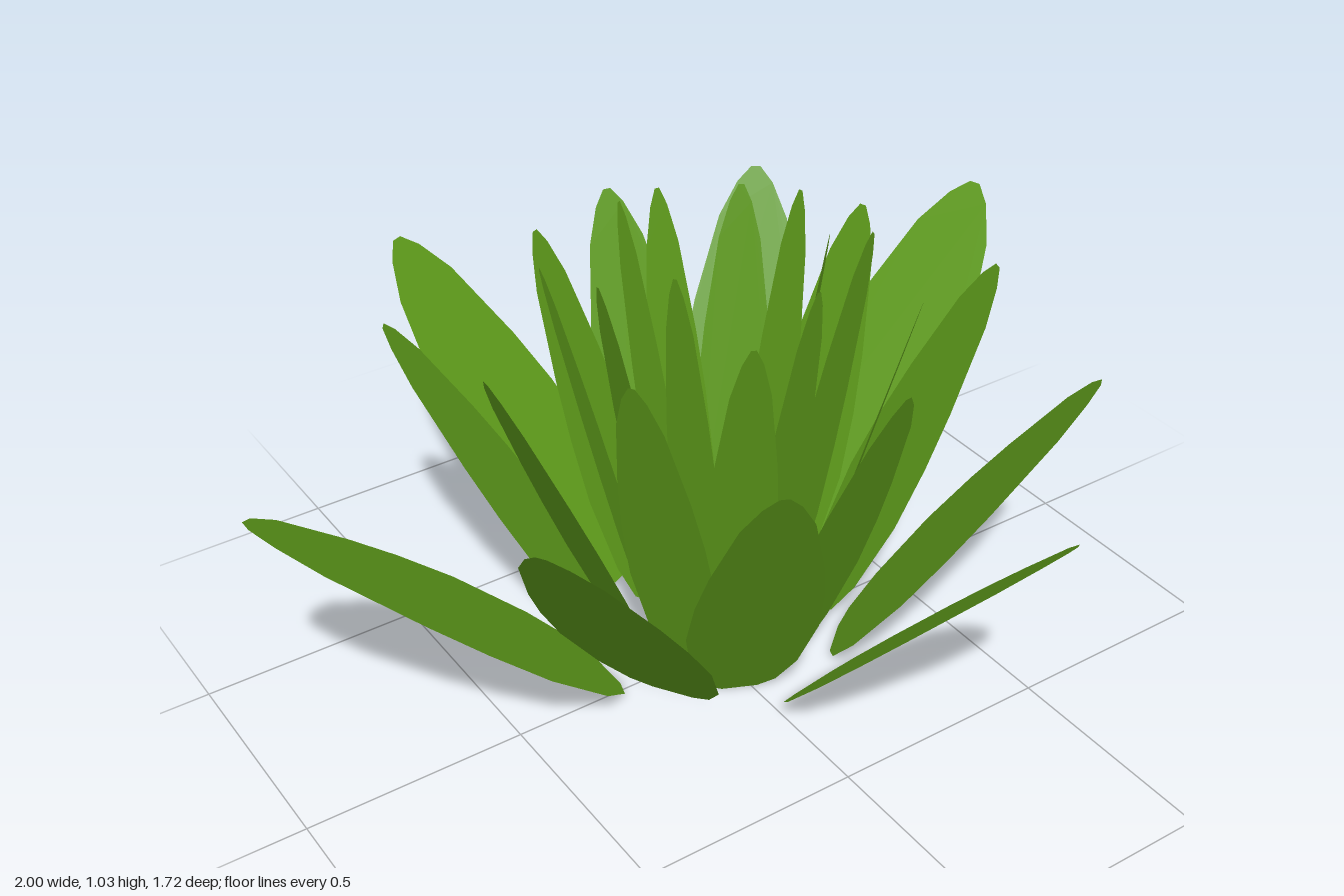
import * as THREE from 'three';

const LEAVES = 28;
const STEP = THREE.MathUtils.degToRad(360 * 3 / 11); // spiral of eleven leaf directions
const CENTRE = [0.076, -0.08];
const OUTER_REACH = [1.076, 0.945, 0.963, 0.86];     // slight irregularity of the oldest leaves

// Half outline of a leaf: [fraction of length, fraction of half width]
const OUTLINE = [
  [0, 0.28], [0.03, 0.55], [0.13, 0.82], [0.33, 1], [0.5, 0.95],
  [0.65, 0.82], [0.87, 0.52], [0.96, 0.27], [1, 0.07],
];

// Flat leaf blade growing along +y, facing +z
function bladeGeometry(length, width) {
  const right = OUTLINE.map(([t, w]) => new THREE.Vector2(w * width / 2, t * length));
  const left = right.map((p) => new THREE.Vector2(-p.x, p.y)).reverse();
  return new THREE.ShapeGeometry(new THREE.Shape([...right, ...left]));
}

export function createModel() {
  const plant = new THREE.Group();
  plant.name = 'rosettePlant';
  const green = new THREE.MeshStandardMaterial({ color: 0x5c981a, side: THREE.DoubleSide, flatShading: true });

  // Leaves wind inward from wide and spreading to narrow and upright
  for (let i = 0; i < LEAVES; i++) {
    const baseRadius = 0.31 - 0.0088 * i;
    const tipRadius = OUTER_REACH[i] ?? 1.05 * Math.exp(-0.0575 * i);
    const tipHeight = 0.715 + 0.0117 * i;
    const run = tipRadius - baseRadius;

    const blade = new THREE.Mesh(bladeGeometry(Math.hypot(run, tipHeight), 0.42 * Math.exp(-0.05 * i)), green);
    blade.name = 'leafBlade';
    blade.position.z = baseRadius;
    blade.rotation.x = Math.atan2(run, tipHeight);

    const leaf = new THREE.Group();
    leaf.name = `leaf${i + 1}`;
    leaf.position.set(CENTRE[0], 0, CENTRE[1]);
    leaf.rotation.y = -Math.PI / 2 + i * STEP; // first leaf points to -x
    leaf.add(blade);
    plant.add(leaf);
  }
  return plant;
}
